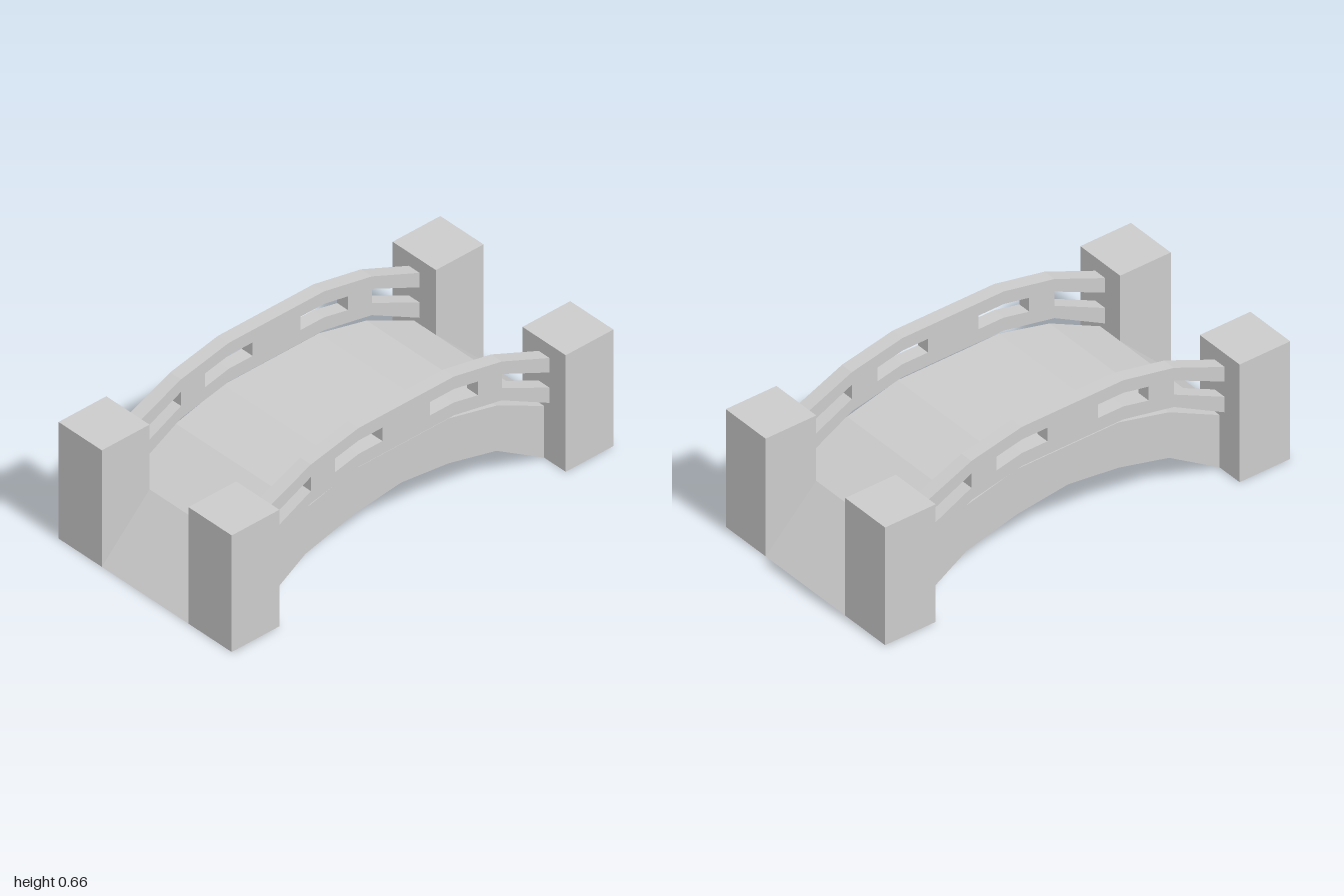
import * as THREE from 'three';

const material = new THREE.MeshStandardMaterial({ color: 0xcccccc, flatShading: true });

// Mirror a profile running from the right end (x < 0) to the middle
const mirrored = (half) => [
  ...half,
  ...half.filter(([x]) => x !== 0).reverse().map(([x, y]) => [-x, y]),
];

// Extrude a front profile along z, centred on z
function slab(name, outline, width, z) {
  const shape = new THREE.Shape(outline.map(([x, y]) => new THREE.Vector2(x, y)));
  const geometry = new THREE.ExtrudeGeometry(shape, { depth: width, bevelEnabled: false });
  geometry.translate(0, 0, z - width / 2);
  const mesh = new THREE.Mesh(geometry, material);
  mesh.name = name;
  return mesh;
}

// Profile between an upper and a lower symmetric edge
const band = (upper, lower) => [...mirrored(upper), ...mirrored(lower).reverse()];

// Edge bending at fixed distances from the middle
const edge = (a, b, c) => [[-0.75, a], [-0.5, b], [-0.25, c]];

function createRailing(name, z) {
  const railing = new THREE.Group();
  railing.name = name;
  const width = 0.0625;

  // Handrail and lower rail
  railing.add(slab('handrail',
    band(edge(0.498, 0.605, 0.657), edge(0.428, 0.545, 0.597)), width, z));
  railing.add(slab('lowerRail',
    band(edge(0.355, 0.477, 0.532), edge(0.281, 0.418, 0.47)), width, z));

  // Uprights filling the space between the rails
  railing.add(slab('middleUpright',
    band([[-0.125, 0.597]], [[-0.125, 0.532]]), width, z));
  for (const side of [-1, 1]) {
    railing.add(slab(side > 0 ? 'leftUpright' : 'rightUpright', [
      [side * 0.5, 0.477], [side * 0.5, 0.545], [side * 0.375, 0.571], [side * 0.375, 0.5045],
    ], width, z));
  }
  return railing;
}

export function createModel() {
  const bridge = new THREE.Group();
  bridge.name = 'archedBridge';

  // Arched deck, its sides under the middle of the railings
  bridge.add(slab('deck', band(
    edge(0.25, 0.375, 0.4375),
    [[-0.75, 0], [-0.5, 0.157], [-0.25, 0.221], [0, 0.252]],
  ), 0.75, 0));

  bridge.add(createRailing('frontRailing', 0.375), createRailing('backRailing', -0.375));

  for (const side of [-1, 1]) {
    const label = side > 0 ? 'left' : 'right';

    // Entry ramp between the posts
    bridge.add(slab(label + 'Ramp',
      [[side * 0.75, 0], [side, 0], [side * 0.75, 0.25]], 0.5, 0));

    // Corner posts
    for (const z of [-0.375, 0.375]) {
      const post = new THREE.Mesh(new THREE.BoxGeometry(0.25, 0.5625, 0.25), material);
      post.position.set(side * 0.875, 0.28125, z);
      post.name = label + (z > 0 ? 'FrontPost' : 'BackPost');
      bridge.add(post);
    }
  }
  return bridge;
}
